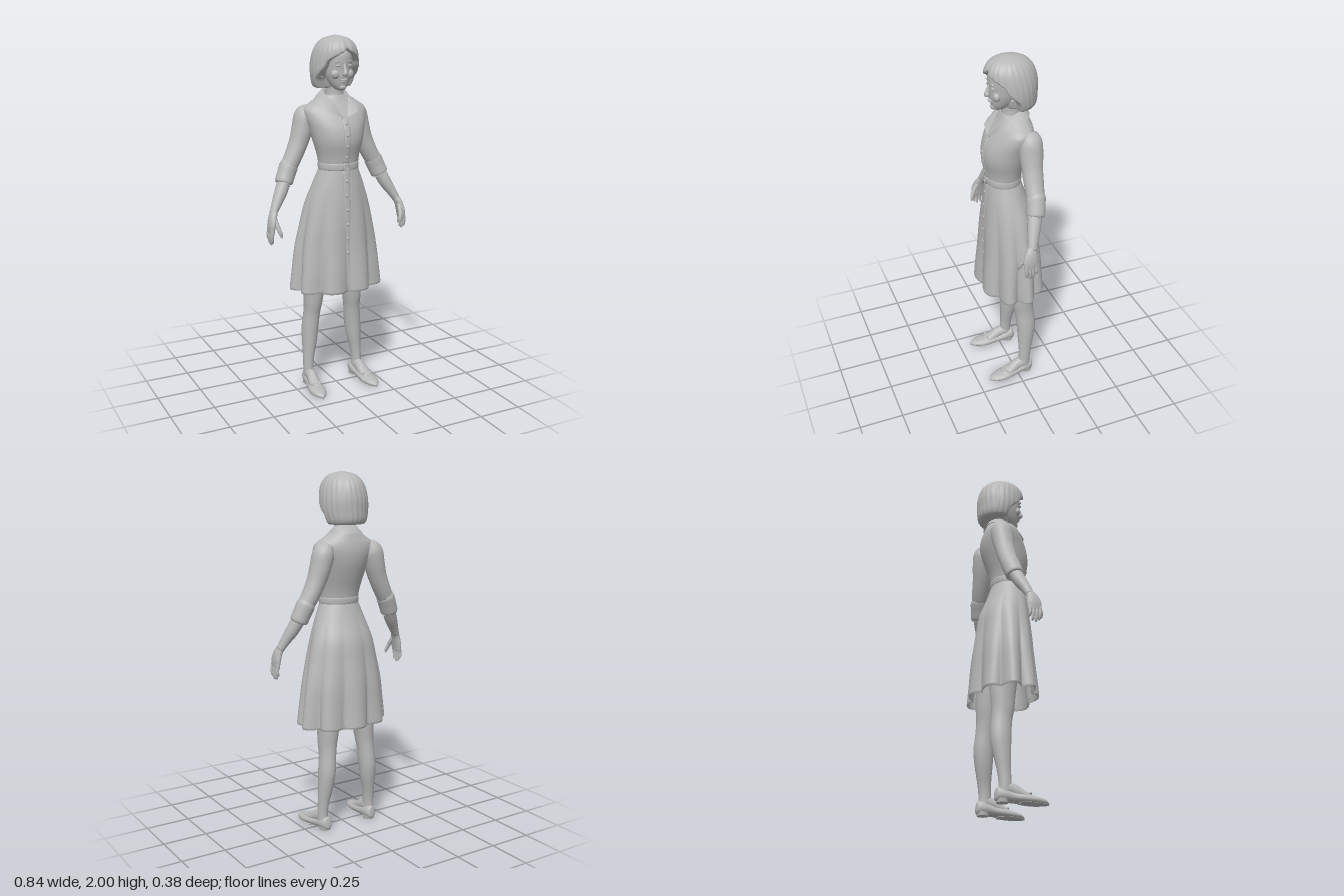
import * as THREE from 'three';

const V = (x, y, z) => new THREE.Vector3(x, y, z);
const grey = new THREE.MeshStandardMaterial({ color: 0xb8b8b8, side: THREE.DoubleSide });
grey.name = 'plain grey';

// Catmull-Rom sample of a table of section rows, t in 0..1
function sample(rows, t) {
  const f = t * (rows.length - 1), i = Math.min(Math.floor(f), rows.length - 2), u = f - i;
  const r = k => rows[Math.max(0, Math.min(rows.length - 1, k))];
  return rows[0].map((_, c) => {
    const a = r(i - 1)[c], b = r(i)[c], d = r(i + 1)[c], e = r(i + 2)[c];
    return b + 0.5 * u * (d - a + u * (2 * a - 5 * b + 4 * d - e + u * (3 * (b - d) + e - a)));
  });
}

// Front z of a section table [y, zFront, zBack, halfWidth] at height y
function frontZ(rows, y) {
  for (let t = 0; t <= 1; t += 0.005) {
    const s = sample(rows, t);
    if (s[0] >= y) return s[1];
  }
  return rows[rows.length - 1][1];
}

// Surface through rings of points
function skin(rings, closed = true, caps = true) {
  const pos = [], idx = [], n = rings[0].length;
  rings.forEach(r => r.forEach(p => pos.push(p.x, p.y, p.z)));
  for (let i = 0; i < rings.length - 1; i++) {
    for (let j = 0; j < (closed ? n : n - 1); j++) {
      const k = (j + 1) % n, a = i * n + j, b = i * n + k;
      idx.push(a, b, a + n, b, b + n, a + n);
    }
  }
  if (closed && caps) {
    [0, rings.length - 1].forEach(i => {
      const c = rings[i].reduce((s, p) => s.add(p), V(0, 0, 0)).divideScalar(n);
      const m = pos.length / 3;
      pos.push(c.x, c.y, c.z);
      for (let j = 0; j < n; j++) {
        const a = i * n + j, b = i * n + (j + 1) % n;
        if (i) idx.push(a, b, m); else idx.push(b, a, m);
      }
    });
  }
  const g = new THREE.BufferGeometry();
  g.setAttribute('position', new THREE.Float32BufferAttribute(pos, 3));
  g.setIndex(idx);
  g.computeVertexNormals();
  return g;
}

// Level rings from [y, zFront, zBack, halfWidth]; mod(angle, y) scales the radius
function stack(rows, { n = 48, steps = 40, mod = () => 1, caps = true } = {}) {
  const rings = [];
  for (let i = 0; i <= steps; i++) {
    const [y, zf, zb, rx] = sample(rows, i / steps), ring = [];
    for (let j = 0; j < n; j++) {
      const a = j / n * Math.PI * 2, m = mod(a > Math.PI ? a - 2 * Math.PI : a, y);
      ring.push(V(rx * m * Math.sin(a), y, (zf + zb) / 2 + (zf - zb) / 2 * m * Math.cos(a)));
    }
    rings.push(ring);
  }
  return skin(rings, true, caps);
}

// Elliptical rings along a path of [x, y, z, sideRadius, refRadius]
function sweep(rows, { n = 20, steps = 24, ref = V(0, 0, 1), floor = -1 } = {}) {
  const rings = [], at = t => V(...sample(rows, t).slice(0, 3));
  for (let i = 0; i <= steps; i++) {
    const t = i / steps, s = sample(rows, t);
    const d = at(Math.min(1, t + 0.01)).sub(at(Math.max(0, t - 0.01))).normalize();
    const u = ref.clone().addScaledVector(d, -ref.dot(d)).normalize();
    const v = d.clone().cross(u);
    rings.push(Array.from({ length: n }, (_, j) => {
      const a = j / n * Math.PI * 2;
      const p = at(t).addScaledVector(v, s[3] * Math.sin(a)).addScaledVector(u, s[4] * Math.cos(a));
      p.y = Math.max(p.y, floor);
      return p;
    }));
  }
  return skin(rings);
}

function add(group, name, geo) {
  const m = new THREE.Mesh(geo, grey);
  m.name = name;
  group.add(m);
  return m;
}

function ball(group, name, x, y, z, rx, ry, rz) {
  const m = add(group, name, new THREE.SphereGeometry(1, 16, 12));
  m.position.set(x, y, z);
  m.scale.set(rx, ry, rz);
  return m;
}

function buildSide() {
  const g = new THREE.Group();
  // Arm: sleeve, rolled cuff, forearm, hand
  add(g, 'sleeve', sweep([[0.13, 1.615, -0.065, 0.03, 0.04], [0.155, 1.575, -0.065, 0.058, 0.062], [0.175, 1.5, -0.063, 0.057, 0.062],
    [0.198, 1.43, -0.06, 0.052, 0.056], [0.235, 1.35, -0.056, 0.048, 0.052], [0.275, 1.28, -0.05, 0.045, 0.046]], { n: 28 }));
  add(g, 'cuff', sweep([[0.258, 1.31, -0.053, 0.044, 0.045], [0.261, 1.305, -0.053, 0.051, 0.053], [0.28, 1.262, -0.047, 0.05, 0.051],
    [0.297, 1.222, -0.04, 0.049, 0.05], [0.299, 1.217, -0.039, 0.04, 0.042]], { n: 28 }));
  add(g, 'forearm', sweep([[0.285, 1.25, -0.045, 0.036, 0.04], [0.325, 1.17, -0.02, 0.035, 0.037], [0.36, 1.11, 0, 0.027, 0.029],
    [0.385, 1.065, 0.013, 0.02, 0.025]]));
  add(g, 'palm', sweep([[0.38, 1.075, 0.012, 0.02, 0.025], [0.393, 1.045, 0.022, 0.02, 0.034], [0.402, 1.005, 0.028, 0.018, 0.042],
    [0.405, 0.965, 0.028, 0.013, 0.038]]));
  [0.056, 0.037, 0.018, 0].forEach((z, i) => {
    const tip = [0.91, 0.898, 0.902, 0.92][i];
    add(g, 'finger', sweep([[0.404, 0.99, z, 0.011, 0.01], [0.411, 0.95, z + 0.001, 0.01, 0.0095], [0.409, tip + 0.012, z - 0.002, 0.008, 0.008],
      [0.404, tip, z - 0.004, 0.003, 0.003]], { n: 10, steps: 10 }));
  });
  add(g, 'thumb', sweep([[0.388, 1.045, 0.035, 0.013, 0.014], [0.38, 1.0, 0.065, 0.012, 0.012], [0.37, 0.965, 0.08, 0.01, 0.01],
    [0.365, 0.943, 0.083, 0.003, 0.003]], { n: 10, steps: 12 }));

  // Leg and foot
  add(g, 'leg', sweep([[0.157, 0.03, -0.045, 0.028, 0.036], [0.157, 0.1, -0.045, 0.029, 0.034], [0.153, 0.17, -0.05, 0.032, 0.037],
    [0.143, 0.27, -0.058, 0.043, 0.049], [0.137, 0.35, -0.061, 0.047, 0.056], [0.129, 0.44, -0.054, 0.046, 0.056],
    [0.124, 0.51, -0.046, 0.052, 0.062], [0.118, 0.6, -0.043, 0.061, 0.07], [0.108, 0.8, -0.03, 0.078, 0.085], [0.1, 0.95, -0.02, 0.085, 0.09]],
  { n: 28, steps: 45 }));
  add(g, 'instep', sweep([[0.156, 0.075, -0.05, 0.03, 0.035], [0.158, 0.065, 0, 0.03, 0.035], [0.162, 0.045, 0.05, 0.034, 0.025],
    [0.166, 0.03, 0.1, 0.034, 0.015]], { ref: V(0, 1, 0) }));

  // Flat shoe with low heel, sole and bow
  add(g, 'shoe', sweep([[0.15, 0.045, -0.096, 0.01, 0.02], [0.15, 0.044, -0.088, 0.027, 0.036], [0.152, 0.04, -0.055, 0.036, 0.036],
    [0.156, 0.03, 0, 0.037, 0.028], [0.162, 0.025, 0.055, 0.044, 0.027], [0.167, 0.02, 0.105, 0.046, 0.024], [0.17, 0.016, 0.155, 0.031, 0.018],
    [0.171, 0.012, 0.185, 0.004, 0.005]], { n: 28, ref: V(0, 1, 0), floor: 0.006 }));
  add(g, 'sole', sweep([[0.167, 0.004, 0.03, 0.034, 0.004], [0.167, 0.004, 0.1, 0.046, 0.004], [0.17, 0.004, 0.15, 0.034, 0.004],
    [0.171, 0.004, 0.183, 0.005, 0.003]], { ref: V(0, 1, 0) }));
  const heel = add(g, 'heel', new THREE.CylinderGeometry(0.034, 0.031, 0.02, 20));
  heel.position.set(0.151, 0.01, -0.058);
  [-1, 1].forEach(s => {
    ball(g, 'bowLoop', 0.165 + s * 0.017, 0.05, 0.078, 0.017, 0.007, 0.01).rotation.z = s * 0.25;
  });
  ball(g, 'bowKnot', 0.165, 0.051, 0.08, 0.007, 0.008, 0.008);

  // Side features of the head
  ball(g, 'ear', 0.083, 1.82, 0.005, 0.01, 0.028, 0.016);
  ball(g, 'earring', 0.09, 1.785, 0.01, 0.007, 0.009, 0.007);
  ball(g, 'eye', 0.034, 1.845, 0.093, 0.015, 0.007, 0.009);
  ball(g, 'eyebrow', 0.036, 1.868, 0.095, 0.019, 0.004, 0.007).rotation.z = -0.12;
  ball(g, 'cheek', 0.04, 1.8, 0.076, 0.026, 0.026, 0.02);
  return g;
}

export function createModel() {
  const model = new THREE.Group();
  model.name = 'woman in shirt dress';

  // Bodice
  const bodice = [[1.28, 0.118, -0.062, 0.108], [1.36, 0.127, -0.075, 0.12], [1.44, 0.142, -0.1, 0.142], [1.51, 0.133, -0.12, 0.16],
    [1.57, 0.105, -0.127, 0.178], [1.615, 0.075, -0.122, 0.178], [1.65, 0.052, -0.112, 0.13], [1.685, 0.035, -0.1, 0.075]];
  add(model, 'bodice', stack(bodice));

  // Pleated skirt with a turned-in hem
  const skirt = [[0.615, 0.172, -0.178, 0.257], [0.72, 0.166, -0.172, 0.248], [0.85, 0.156, -0.165, 0.235], [0.98, 0.15, -0.15, 0.211],
    [1.09, 0.142, -0.135, 0.186], [1.2, 0.132, -0.095, 0.148], [1.3, 0.119, -0.062, 0.108]];
  const fold = y => 0.2 * Math.pow(THREE.MathUtils.clamp((1.25 - y) / 0.63, 0, 1), 1.2);
  const pleat = (a, y) => 1 + fold(y) * (Math.abs(Math.sin(4.5 * a)) - 0.62);
  add(model, 'skirt', stack(skirt, { n: 144, mod: pleat, caps: false }));
  add(model, 'hemLining', stack([[0.615, 0.172, -0.178, 0.257], [0.617, 0.164, -0.17, 0.249], [0.8, 0.147, -0.152, 0.228], [1.0, 0.13, -0.13, 0.19]],
    { n: 144, mod: pleat, caps: false, steps: 12 }));

  // Button band and buttons
  const bandZ = y => y > 1.3 ? frontZ(bodice, y)
    : (z => z[0] + z[1] * pleat(0, y))(((s) => [(s[1] + s[2]) / 2, (s[1] - s[2]) / 2])(
      Array.from({ length: 201 }, (_, i) => sample(skirt, i / 200)).find(s => s[0] >= y) || skirt[6]));
  const band = (y0, y1) => sweep(Array.from({ length: 9 }, (_, i) => {
    const y = y0 + (y1 - y0) * i / 8;
    return [0, y, bandZ(y), 0.019, 0.005];
  }), { n: 12 });
  add(model, 'skirtBand', band(0.62, 1.285));
  add(model, 'bodiceBand', band(1.33, 1.56));
  [1.54, 1.48, 1.42, 1.36, 1.23, 1.15, 1.07, 0.99, 0.91, 0.83].forEach(y =>
    ball(model, 'button', 0, y, bandZ(y) + 0.005, 0.009, 0.009, 0.005));

  // Belt and buckle
  add(model, 'belt', stack([[1.288, 0.118, -0.06, 0.106], [1.29, 0.126, -0.068, 0.115], [1.322, 0.126, -0.07, 0.115], [1.325, 0.118, -0.06, 0.106]],
    { steps: 12 }));
  const buckle = add(model, 'buckle', new THREE.TorusGeometry(0.021, 0.005, 8, 4));
  buckle.geometry.rotateZ(Math.PI / 4);
  buckle.position.set(0, 1.306, 0.129);

  // Folded collar
  const half = pts => new THREE.CatmullRomCurve3([...pts.slice(1).reverse().map(p => V(-p[0], p[1], p[2])), ...pts.map(p => V(...p))]).getPoints(48);
  add(model, 'collar', skin([
    half([[0, 1.68, -0.075], [0.05, 1.68, -0.045], [0.055, 1.66, 0.005], [0.035, 1.62, 0.055], [0.01, 1.56, 0.105]]),
    half([[0, 1.72, -0.085], [0.06, 1.715, -0.05], [0.068, 1.69, 0.005], [0.045, 1.65, 0.06], [0.014, 1.575, 0.113]]),
    half([[0, 1.675, -0.115], [0.085, 1.672, -0.08], [0.107, 1.65, 0], [0.1, 1.63, 0.06], [0.076, 1.598, 0.103]]),
  ], false));

  // Neck, head and face
  add(model, 'neck', stack([[1.6, 0.06, -0.07, 0.065], [1.66, 0.038, -0.07, 0.054], [1.71, 0.032, -0.068, 0.048], [1.78, 0.04, -0.06, 0.048]], { n: 28, steps: 16 }));
  add(model, 'head', stack([[1.713, 0.07, 0.035, 0.014], [1.722, 0.083, 0.01, 0.03], [1.75, 0.092, -0.03, 0.052], [1.79, 0.099, -0.07, 0.07],
    [1.83, 0.101, -0.09, 0.079], [1.87, 0.105, -0.1, 0.082], [1.91, 0.1, -0.1, 0.08], [1.95, 0.07, -0.08, 0.06]]));
  add(model, 'nose', sweep([[0, 1.793, 0.104, 0.011, 0.006], [0, 1.803, 0.112, 0.015, 0.015], [0, 1.82, 0.108, 0.01, 0.013],
    [0, 1.85, 0.1, 0.008, 0.008], [0, 1.87, 0.098, 0.006, 0.004]], { n: 14 }));
  ball(model, 'upperLip', 0, 1.772, 0.097, 0.022, 0.005, 0.009);
  ball(model, 'lowerLip', 0, 1.763, 0.095, 0.018, 0.006, 0.009);
  ball(model, 'chin', 0, 1.731, 0.078, 0.02, 0.016, 0.016);

  // Bobbed hair: drawn in over the face, with a side parting and fine strands
  const hairMod = (a, y) => {
    const open = THREE.MathUtils.smoothstep(1.945 - y, 0, 0.09) * 0.95 + THREE.MathUtils.smoothstep(1.86 - y, 0, 0.1) * 0.5;
    const edge = THREE.MathUtils.smoothstep(open - Math.abs(a - 0.12), 0, 0.14);
    const part = y > 1.92 ? 0.05 * Math.exp(-Math.pow((a - 0.15) / 0.12, 2)) : 0;
    const strands = 0.009 * Math.sin(a * 26 + y * 12) + 0.005 * Math.sin(a * 43 - y * 20);
    return (1 + strands - part) * (1 - 0.42 * edge);
  };
  add(model, 'hair', stack([[1.728, 0.03, -0.09, 0.06], [1.722, 0.06, -0.13, 0.1], [1.745, 0.085, -0.15, 0.118], [1.8, 0.11, -0.155, 0.13],
    [1.86, 0.12, -0.156, 0.129], [1.92, 0.122, -0.143, 0.116], [1.96, 0.104, -0.118, 0.094], [1.986, 0.068, -0.08, 0.062], [2.0, 0.01, -0.02, 0.01]],
  { n: 144, steps: 72, mod: hairMod }));

  // Paired limbs and features
  const left = buildSide(), right = buildSide();
  left.name = 'leftSide';
  right.name = 'rightSide';
  right.scale.x = -1;
  model.add(left, right);
  return model;
}
